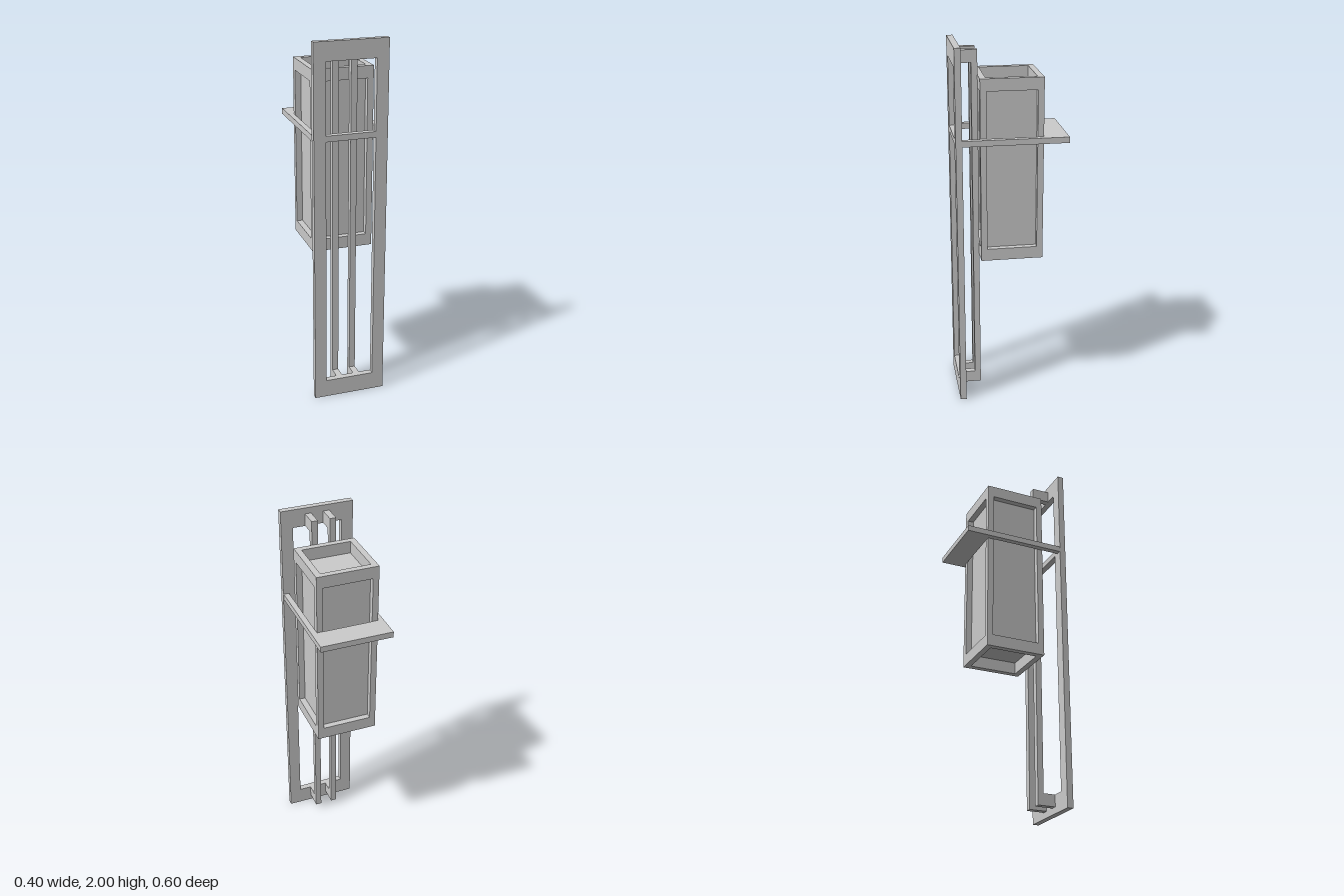
import * as THREE from 'three';

const material = new THREE.MeshStandardMaterial({ color: 0xcccccc, flatShading: true });

export function createModel() {
  const model = new THREE.Group();

  const add = (name, geometry, parent = model) => {
    const mesh = new THREE.Mesh(geometry, material);
    mesh.name = name;
    parent.add(mesh);
    return mesh;
  };

  // Box given by its lower and upper limits on each axis
  const box = (name, [x0, x1], [y0, y1], [z0, z1], parent) =>
    add(name, new THREE.BoxGeometry(x1 - x0, y1 - y0, z1 - z0), parent)
      .position.set((x0 + x1) / 2, (y0 + y1) / 2, (z0 + z1) / 2);

  const trace = (path, points) => path.setFromPoints(points.map(([x, y]) => new THREE.Vector2(x, y)));
  const rect = (path, x, y0, y1) => trace(path, [[-x, y0], [x, y0], [x, y1], [-x, y1], [-x, y0]]);
  const extrude = (shape, depth) => new THREE.ExtrudeGeometry(shape, { depth, bevelEnabled: false });

  // Tall flat wall frame with two openings, leaving a thin crossbar
  const plate = rect(new THREE.Shape(), 0.2, 0, 2);
  plate.holes.push(rect(new THREE.Path(), 0.135, 0.1, 1.488), rect(new THREE.Path(), 0.135, 1.52, 1.9));
  add('wallFrame', extrude(plate, 0.034)).position.z = 0.266;

  // Pair of upright rails, joined to the frame by a stub at each end
  const rail = trace(new THREE.Shape(), [
    [0.266, 0.035], [0.266, 0.1], [0.2, 0.1], [0.2, 1.9],
    [0.266, 1.9], [0.266, 1.967], [0.167, 1.967], [0.167, 0.035],
  ]);
  for (const side of [-1, 1]) {
    const mesh = add(side > 0 ? 'leftRail' : 'rightRail', extrude(rail, 0.034));
    mesh.rotation.y = -Math.PI / 2;
    mesh.position.x = side * 0.05 + 0.017;
  }

  // U-shaped shelf band holding the lantern
  const band = trace(new THREE.Shape(), [
    [-0.198, -0.267], [-0.168, -0.267], [-0.168, 0.168], [0.168, 0.168],
    [0.168, -0.267], [0.198, -0.267], [0.198, 0.3], [-0.198, 0.3],
  ]);
  const bandMesh = add('supportBand', extrude(band, 0.032));
  bandMesh.rotation.x = -Math.PI / 2;
  bandMesh.position.y = 1.488;

  // Lantern: corner posts, top and bottom rims, inset panels
  const lantern = new THREE.Group();
  lantern.name = 'lantern';
  model.add(lantern);
  const outer = 0.168, inner = 0.135, low = 0.835, high = 1.835, rim = 0.066;
  const span = (s) => (s > 0 ? [inner, outer] : [-outer, -inner]);
  for (const sx of [-1, 1]) {
    for (const sz of [-1, 1]) {
      box('cornerPost', span(sx), [low + rim, high - rim], span(sz), lantern);
    }
  }
  const ring = rect(new THREE.Shape(), outer, -outer, outer);
  ring.holes.push(rect(new THREE.Path(), inner, -inner, inner));
  for (const [name, y] of [['bottomRim', low], ['topRim', high - rim]]) {
    const mesh = add(name, extrude(ring, rim), lantern);
    mesh.rotation.x = -Math.PI / 2;
    mesh.position.y = y;
  }
  box('insetPanels', [-inner, inner], [low + rim, high - rim], [-inner, inner], lantern);

  return model;
}
